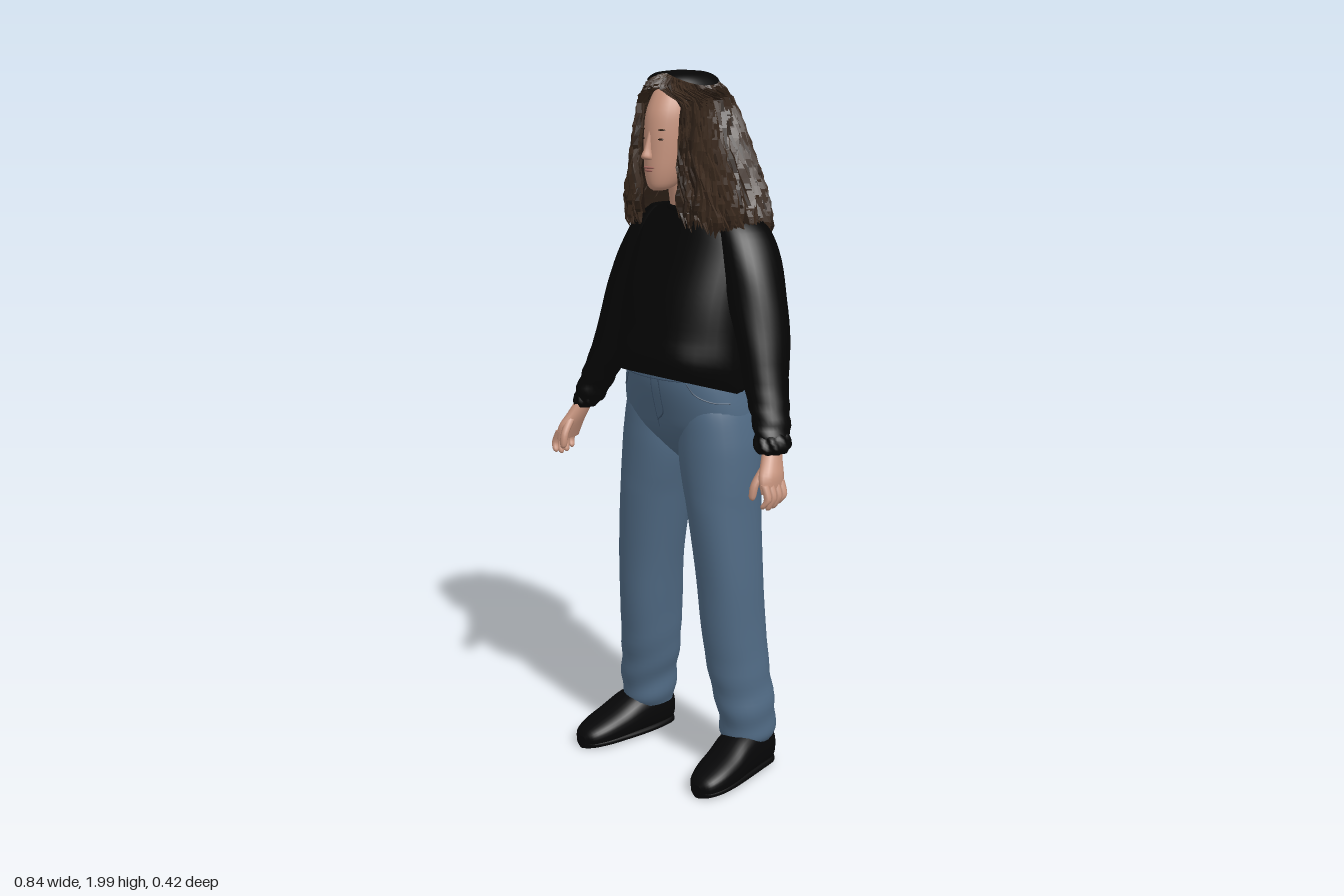
import * as THREE from 'three';

const mat = (name, color, side = THREE.FrontSide, flatShading = false) =>
  Object.assign(new THREE.MeshStandardMaterial({ color, side, flatShading }), { name });
const skin = mat('skin', 0xc6937d);
const lip = mat('lips', 0xa4685f);
const hairMat = mat('hair brown', 0x3b2a1e, THREE.DoubleSide, true);
const hairDark = mat('hair dark brown', 0x2d2017, THREE.DoubleSide, true);
const black = mat('crown black', 0x060606, THREE.DoubleSide);
const knit = mat('knit black', 0x040404);
const denim = mat('denim blue', 0x506a84);
const seamMat = mat('seam blue', 0x3b5067);
const shoeMat = mat('shoe black', 0x060607);

// small seeded random
let seed = 7;
const rnd = () => ((seed = (seed * 16807) % 2147483647) / 2147483647);

// smooth interpolation of cross-section rows
function rowAt(rows, t) {
  const n = rows.length - 1, i = Math.min(Math.floor(t), n - 1), f = t - i;
  const g = k => rows[Math.max(0, Math.min(n, k))];
  return rows[i].map((_, c) => {
    const a = g(i - 1)[c], b = g(i)[c], d = g(i + 1)[c], e = g(i + 2)[c];
    return b + 0.5 * f * (d - a + f * (2 * a - 5 * b + 4 * d - e + f * (3 * (b - d) + e - a)));
  });
}
const pw = (v, p) => Math.sign(v) * Math.abs(v) ** p;

// point on a lofted body; row = [y, cx, cz, rx, rz], angle 0 faces the front
function loftPoint(rows, t, a, p = 1, bump) {
  const [y, cx, cz, rx, rz] = rowAt(rows, t);
  const k = bump ? bump(a, y) : 1;
  return new THREE.Vector3(cx + rx * k * pw(Math.sin(a), p), y, cz + rz * k * pw(Math.cos(a), p));
}

// closed loft through rows listed from bottom to top
function loft(name, rows, material, { sides = 28, sub = 4, p = 1, bump, warp } = {}) {
  const pos = [], idx = [], n = (rows.length - 1) * sub;
  const put = v => { if (warp) warp(v); return pos.push(v.x, v.y, v.z) / 3 - 1; };
  const ring = t => {
    for (let j = 0; j < sides; j++) put(loftPoint(rows, t, j / sides * Math.PI * 2, p, bump));
  };
  for (let i = 0; i <= n; i++) ring(i / sub);
  for (let i = 0; i < n; i++) for (let j = 0; j < sides; j++) {
    const a = i * sides + j, b = i * sides + (j + 1) % sides;
    idx.push(a, b, a + sides, b, b + sides, a + sides);
  }
  for (const top of [false, true]) {
    const r = rows[top ? rows.length - 1 : 0], start = pos.length / 3;
    ring(top ? n / sub : 0);
    const c = put(new THREE.Vector3(r[1], r[0], r[2]));
    for (let j = 0; j < sides; j++) {
      const a = start + j, b = start + (j + 1) % sides;
      idx.push(c, top ? a : b, top ? b : a);
    }
  }
  return mesh(name, surface(pos, idx), material);
}
function surface(pos, idx) {
  const g = new THREE.BufferGeometry();
  g.setAttribute('position', new THREE.Float32BufferAttribute(pos, 3));
  g.setIndex(idx);
  g.computeVertexNormals();
  return g;
}
function mesh(name, geometry, material) {
  const m = new THREE.Mesh(geometry, material);
  m.name = name;
  return m;
}
function ball(name, material, x, y, z, sx, sy, sz) {
  const m = mesh(name, new THREE.SphereGeometry(1, 12, 8), material);
  m.position.set(x, y, z);
  m.scale.set(sx, sy, sz);
  return m;
}

// hair envelope: [y, cx, rx, front z, back z] from crown to tips
const HAIR = [[1.996, -0.018, 0.002, 0.024, 0.02], [1.986, -0.018, 0.05, 0.08, -0.04],
  [1.955, -0.018, 0.08, 0.108, -0.083], [1.9, -0.02, 0.1, 0.118, -0.122],
  [1.82, -0.02, 0.122, 0.116, -0.15], [1.74, -0.02, 0.15, 0.112, -0.17],
  [1.66, -0.02, 0.184, 0.106, -0.183], [1.59, -0.02, 0.202, 0.095, -0.188], [1.53, -0.02, 0.185, 0.07, -0.175]];
// s runs 0..1 round the head from one side of the face to the other
function hairPoint(s, v, out = 0) {
  const [y, cx, rx, zf, zb] = rowAt(HAIR, v);
  const w = 0.067 * Math.max(0, Math.min(1, (1.955 - y) / 0.028));
  const gap = Math.asin(Math.min(0.9, w / rx) ** (1 / 0.85));
  const a = gap + Math.max(0, Math.min(1, s)) * (Math.PI * 2 - 2 * gap);
  return new THREE.Vector3(cx + (rx + out) * pw(Math.sin(a), 0.85), y,
    (zf + zb) / 2 + ((zf - zb) / 2 + out) * pw(Math.cos(a), 0.85));
}
// open sheet from a point rule over a grid
function sheet(nu, nv, rule, pos = [], idx = []) {
  const o = pos.length / 3;
  for (let i = 0; i <= nv; i++) for (let j = 0; j <= nu; j++) pos.push(...rule(j / nu, i / nv).toArray());
  for (let i = 0; i < nv; i++) for (let j = 0; j < nu; j++) {
    const a = o + i * (nu + 1) + j, b = a + nu + 1;
    idx.push(a, b, a + 1, a + 1, b, b + 1);
  }
  return [pos, idx];
}
function buildHair() {
  const g = new THREE.Group();
  g.name = 'hair';
  const back = s => Math.sin(s * Math.PI);
  g.add(mesh('hairShell', surface(...sheet(64, 40, (s, t) => hairPoint(s, t * (6.6 + 0.9 * back(s)), -0.002))), hairDark));
  // tapering wavy locks in two tones
  for (const [name, material, count] of [['lightLocks', hairMat, 190], ['darkLocks', hairDark, 70]]) {
    const pos = [], idx = [];
    for (let i = 0; i < count; i++) {
      const s0 = (i + rnd() * 0.8) / count, v0 = i % 3 ? 0.4 + rnd() * 0.8 : 2.5 + rnd() * 2;
      const v1 = 6.7 + 1.0 * back(s0) + rnd() * 0.4 - (i % 4 ? 0 : 0.9 * rnd());
      const lift = 0.002 + rnd() * 0.014, phase = rnd() * 6.28;
      sheet(2, 14, (u, t) => {
        const v = v0 + (v1 - v0) * t, taper = Math.min(1, t * 5 + 0.2, (1 - t) * 4 + 0.05);
        const sway = 0.008 * Math.sin(v * 3.2 + phase) * Math.min(1, v / 4);
        const ridge = u === 0.5 ? 0.01 * taper : -0.003;
        return hairPoint(s0 + sway + (u - 0.5) * 0.034 * taper, v,
          ridge + lift * Math.min(1, v / 4) + 0.004 * Math.sin(v * 6 + phase));
      }, pos, idx);
    }
    g.add(mesh(name, surface(pos, idx), material));
  }
  // dark crown patch, widest at the sides, with a strip running down the back
  const reach = s => 0.75 + 1.15 * Math.abs(Math.sin(s * Math.PI * 2)) ** 1.5 + 2.4 * Math.max(0, 1 - Math.abs(s - 0.5) * 11);
  g.add(mesh('crownPatch', surface(...sheet(80, 12, (s, t) =>
    hairPoint(s, t * reach(s), 0.017 * Math.min(1, t * 2)).add(new THREE.Vector3(0, 0.004, 0)))), black));
  return g;
}

function buildHead() {
  const g = new THREE.Group(), x = -0.03;
  g.name = 'head';
  g.add(loft('neck', [[1.58, -0.012, -0.005, 0.052, 0.052], [1.65, -0.014, 0.006, 0.046, 0.048],
    [1.76, -0.02, 0.02, 0.044, 0.05]], skin));
  g.add(loft('face', [[1.684, x, 0.095, 0.014, 0.022], [1.697, x, 0.085, 0.034, 0.045], [1.735, x, 0.067, 0.051, 0.069],
    [1.79, x, 0.05, 0.062, 0.085], [1.85, x, 0.04, 0.066, 0.092], [1.9, x, 0.033, 0.064, 0.088],
    [1.95, x, 0.026, 0.05, 0.064], [1.968, x, 0.022, 0.02, 0.03]], skin));
  g.add(loft('nose', [[1.768, -0.034, 0.134, 0.013, 0.01], [1.777, -0.034, 0.138, 0.015, 0.019],
    [1.8, -0.033, 0.134, 0.009, 0.013], [1.845, -0.032, 0.126, 0.006, 0.006]], skin, { sides: 12 }));
  g.add(ball('upperLip', lip, -0.033, 1.747, 0.133, 0.02, 0.004, 0.006));
  g.add(ball('lowerLip', lip, -0.033, 1.739, 0.132, 0.016, 0.005, 0.006));
  for (const s of [-1, 1]) {
    g.add(ball('eye', hairDark, x + s * 0.028, 1.823, 0.122, 0.012, 0.003, 0.005));
    g.add(ball('eyebrow', hairMat, x + s * 0.029, 1.848, 0.12, 0.016, 0.0025, 0.006));
  }
  return g;
}

function buildSweater() {
  const g = new THREE.Group();
  g.name = 'sweater';
  g.add(loft('sweaterBody', [[1.132, 0, 0.026, 0.188, 0.158], [1.2, 0, 0.028, 0.205, 0.167], [1.3, 0, 0.02, 0.202, 0.16],
    [1.4, 0, 0.008, 0.2, 0.146], [1.5, 0, -0.015, 0.2, 0.126], [1.57, 0, -0.03, 0.19, 0.107],
    [1.615, -0.005, -0.033, 0.15, 0.088], [1.635, -0.01, -0.022, 0.09, 0.07], [1.642, -0.012, -0.012, 0.058, 0.058]], knit, {
    sides: 40, p: 0.92,
    bump: (a, y) => 1 + 0.01 * Math.sin(a * 7 + y * 14) * Math.max(0, 1.5 - y) * 3,
    warp: v => { if (v.y < 1.3) v.y += 0.33 * Math.max(0, v.z) * (1.3 - v.y) / 0.168; },
  }));
  const collar = mesh('collar', new THREE.TorusGeometry(0.058, 0.008, 8, 32).rotateX(Math.PI / 2 + 0.15), knit);
  collar.position.set(-0.012, 1.64, -0.006);
  g.add(collar);
  for (const s of [-1, 1]) {
    const side = rows => rows.map(([y, x, ...r]) => [y, s * x, ...r]);
    g.add(loft('sleeve', side([[1.035, 0.353, 0.062, 0.033, 0.042], [1.06, 0.349, 0.058, 0.043, 0.053],
      [1.11, 0.33, 0.045, 0.048, 0.058], [1.2, 0.293, 0.022, 0.057, 0.068], [1.3, 0.262, 0.0, 0.067, 0.08],
      [1.4, 0.228, -0.015, 0.075, 0.088], [1.5, 0.192, -0.028, 0.077, 0.089], [1.58, 0.16, -0.036, 0.062, 0.078],
      [1.625, 0.125, -0.036, 0.04, 0.055]]), knit, {
      bump: (a, y) => 1 + Math.max(0, 1.25 - y) * 0.3 * Math.sin(y * 130 + a * 2) + 0.015 * Math.sin(y * 25 + a * 3),
    }));
    // gathered cuff, fuller on the left
    const w = s > 0 ? 0.047 : 0.036;
    g.add(loft('cuff', side([[1.02, 0.36, 0.072, w * 0.8, w * 0.9], [1.035, 0.358, 0.07, w, w * 1.1],
      [1.06, 0.354, 0.066, w * 0.92, w * 1.05], [1.075, 0.348, 0.06, w * 0.7, w * 0.8]]), knit, {
      sides: 40, bump: (a, y) => 1 + 0.08 * Math.sin(a * 9 + y * 90),
    }));
  }
  return g;
}

function buildHand(s) {
  const g = new THREE.Group();
  g.name = s > 0 ? 'leftHand' : 'rightHand';
  const part = (name, rows, sides) => g.add(loft(name, rows.map(([y, x, ...r]) => [y, s * x, ...r]), skin, { sides }));
  part('palm', [[0.925, 0.396, 0.112, 0.014, 0.042], [0.965, 0.387, 0.106, 0.022, 0.045],
    [1.0, 0.374, 0.09, 0.023, 0.037], [1.05, 0.357, 0.066, 0.023, 0.028]], 16);
  for (let i = 0; i < 4; i++) {
    const z = 0.08 + i * 0.021, tip = 0.876 + Math.abs(i - 1.6) * 0.008;
    part('finger', [[tip, 0.4, z + 0.012, 0.004, 0.004], [tip + 0.008, 0.403, z + 0.011, 0.009, 0.009],
      [0.915, 0.411, z + 0.004, 0.011, 0.01], [0.95, 0.396, z, 0.012, 0.012]], 8);
  }
  part('thumb', [[0.905, 0.367, 0.158, 0.004, 0.004], [0.915, 0.366, 0.157, 0.01, 0.01],
    [0.95, 0.368, 0.148, 0.012, 0.012], [0.99, 0.374, 0.115, 0.013, 0.016]], 8);
  return g;
}

function buildJeans() {
  const g = new THREE.Group();
  g.name = 'jeans';
  const hips = [[0.925, 0, -0.005, 0.05, 0.045], [0.965, -0.002, -0.005, 0.14, 0.085], [1.02, -0.004, -0.005, 0.2, 0.124],
    [1.08, -0.004, 0, 0.205, 0.14], [1.15, -0.002, 0.01, 0.19, 0.149], [1.2, -0.002, 0.015, 0.176, 0.15]];
  g.add(loft('hips', hips, denim, { sides: 40, p: 0.9 }));
  for (const s of [-1, 1]) {
    const rows = [[0.1, 0.182, -0.043, 0.064, 0.072], [0.13, 0.184, -0.038, 0.073, 0.082], [0.2, 0.182, -0.034, 0.076, 0.088],
      [0.3, 0.167, -0.023, 0.08, 0.093], [0.45, 0.155, -0.01, 0.081, 0.1], [0.6, 0.146, 0, 0.087, 0.1],
      [0.8, 0.127, 0.006, 0.098, 0.108], [0.93, 0.112, 0, 0.11, 0.119], [1.01, 0.107, -0.005, 0.108, 0.125],
      [1.1, 0.098, -0.002, 0.096, 0.118], [1.16, 0.09, 0, 0.07, 0.09]];
    g.add(loft('trouserLeg', rows.map(([y, x, ...r]) => [y, s * x - (s < 0 ? 0.035 * Math.max(0, 1 - y) : 0), ...r]), denim, {
      p: 0.92, sub: 6,
      bump: (a, y) => 1 + 0.15 * Math.max(0, 0.42 - y) * Math.sin(y * 60 + 2 * Math.sin(s * a + 1)) +
        0.016 * Math.sin(s * a * 3 + y * 9) * (y < 0.85 ? 1 : 0.3),
    }));
  }
  // stitched lines following the hips, given as [row, angle]
  const seam = (name, pts) => {
    const curve = new THREE.CatmullRomCurve3(pts.map(([t, a]) => loftPoint(hips, t, a, 0.9)));
    g.add(mesh(name, new THREE.TubeGeometry(curve, 24, 0.0022, 5), seamMat));
  };
  seam('waistbandSeam', [-0.9, -0.45, 0, 0.45, 0.9].map(a => [4.5, a]));
  seam('flySeam', [[5, 0], [4, 0], [3, 0], [2.2, 0]]);
  seam('flyStitch', [[4.5, 0.12], [3.6, 0.12], [3, 0.1], [2.6, 0]]);
  for (const s of [-1, 1]) seam('frontPocket', [[4.4, s * 0.6], [3.9, s * 0.7], [3.6, s * 0.95], [3.5, s * 1.3]]);
  return g;
}

// shoe lofted from heel to toe, then laid along z
function buildShoe(s) {
  const g = new THREE.Group();
  g.name = s > 0 ? 'leftShoe' : 'rightShoe';
  const rows = [[-0.122, 0.186, -0.058, 0.028, 0.04], [-0.1, 0.186, -0.07, 0.053, 0.062], [-0.04, 0.189, -0.077, 0.062, 0.069],
    [0.03, 0.197, -0.071, 0.065, 0.063], [0.09, 0.206, -0.056, 0.064, 0.049], [0.15, 0.213, -0.045, 0.058, 0.037],
    [0.195, 0.217, -0.036, 0.041, 0.026], [0.212, 0.217, -0.032, 0.014, 0.012]]
    .map(([z, x, ...r]) => [z, s * (x + (s < 0 ? 0.034 : 0)), ...r]);
  g.add(loft('shoeUpper', rows, shoeMat, { p: 0.8 }));
  g.add(loft('sole', rows.map(([z, x, , rx]) => [z, x, -0.02, rx * 0.95, 0.014]), shoeMat, { p: 0.7 }));
  g.rotation.x = Math.PI / 2;
  return g;
}

export function createModel() {
  const model = new THREE.Group();
  model.name = 'standingFigure';
  model.add(buildHead(), buildHair(), buildSweater(), buildJeans());
  for (const s of [-1, 1]) model.add(buildHand(s), buildShoe(s));
  return model;
}
